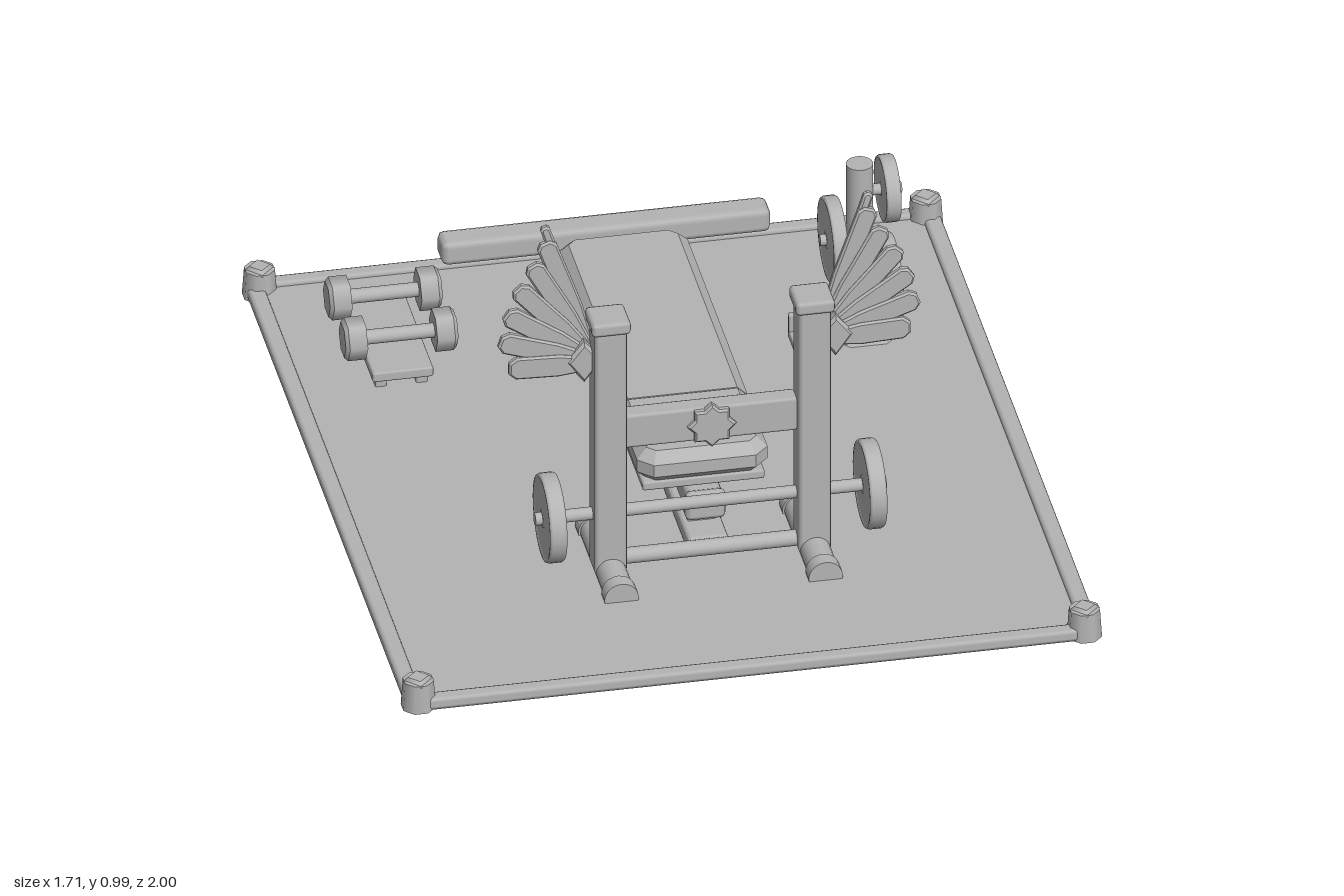
import * as THREE from 'three';
import { RoundedBoxGeometry } from 'three/addons/geometries/RoundedBoxGeometry.js';

const grey = new THREE.MeshStandardMaterial({ color: 0xb4b4b4 });
grey.name = 'plain grey';

export function createModel() {
  const root = new THREE.Group();
  root.name = 'weightBenchSet';

  const add = (name, geo, x, y, z, parent = root) => {
    const m = new THREE.Mesh(geo, grey);
    m.name = name;
    m.position.set(x, y, z);
    parent.add(m);
    return m;
  };
  // boxes are given by their extents
  const box = (name, x0, x1, y0, y1, z0, z1, r = 0.006) =>
    add(name, new RoundedBoxGeometry(x1 - x0, y1 - y0, z1 - z0, 1, r),
      (x0 + x1) / 2, (y0 + y1) / 2, (z0 + z1) / 2);
  // cylinder along the named axis, centred on the point
  const rod = (name, axis, r, len, x, y, z, sides = 20) => {
    const g = new THREE.CylinderGeometry(r, r, len, sides);
    if (axis === 'x') g.rotateZ(Math.PI / 2);
    if (axis === 'z') g.rotateX(Math.PI / 2);
    return add(name, g, x, y, z);
  };
  // flat outline pushed out along z, with a small bevel
  const slab = (pts, depth, bevel) => {
    const g = new THREE.ExtrudeGeometry(new THREE.Shape(pts.map(p => new THREE.Vector2(p[0], p[1]))), {
      depth: depth - 2 * bevel, bevelEnabled: true, bevelSize: bevel, bevelThickness: bevel,
      bevelOffset: -bevel, bevelSegments: 1,
    });
    return g.translate(0, 0, bevel - depth / 2);
  };
  // weight plate with rim and hub, axis along x
  const weight = (name, r, w, x, y, z) => {
    const h = w / 2;
    const g = new THREE.LatheGeometry([
      [0, -h], [r * 0.2, -h], [r * 0.22, -h * 0.8], [r * 0.88, -h * 0.8], [r * 0.92, -h], [r * 0.97, -h], [r, -h * 0.7],
      [r, h * 0.7], [r * 0.97, h], [r * 0.92, h], [r * 0.88, h * 0.8], [r * 0.22, h * 0.8], [r * 0.2, h], [0, h],
    ].map(p => new THREE.Vector2(p[0], p[1])), 32);
    return add(name, g.rotateZ(-Math.PI / 2), x, y, z);
  };

  // floor mat, edge rails and corner posts
  box('floorMat', -0.845, 0.845, 0.012, 0.034, -0.985, 0.985, 0.004);
  for (const s of [-1, 1]) {
    rodRail('x', s);
    rodRail('z', s);
    for (const t of [-1, 1]) {
      const post = new THREE.CylinderGeometry(0.038, 0.043, 0.075, 8).rotateY(Math.PI / 8);
      add('cornerPost', post, s * 0.816, 0.05, t * 0.958);
      add('cornerCap', new THREE.CylinderGeometry(0.026, 0.038, 0.012, 4), s * 0.816, 0.09, t * 0.958);
    }
  }
  function rodRail(axis, s) {
    if (axis === 'x') box('edgeRail', -0.8, 0.8, 0.014, 0.046, s * 0.97 - 0.02, s * 0.97 + 0.02, 0.01);
    else box('edgeRail', s * 0.828 - 0.022, s * 0.828 + 0.022, 0.014, 0.046, -0.95, 0.95, 0.01);
  }

  // rack uprights with feet, peg steps, bar hooks, plates and wings
  const tips = [[0.398, 0.985, 0.024], [0.397, 0.945, 0.05], [0.43, 0.888, 0.05], [0.468, 0.83, 0.052],
    [0.497, 0.763, 0.054], [0.513, 0.692, 0.056], [0.492, 0.618, 0.06]];
  for (const s of [-1, 1]) {
    const x = s * 0.25;
    box('upright', x - 0.04, x + 0.04, 0.035, 0.715, 0.42, 0.5, 0.01);
    box('uprightCap', x - 0.048, x + 0.048, 0.71, 0.745, 0.41, 0.508, 0.01);
    rod('uprightFoot', 'z', 0.037, 0.34, x, 0.042, 0.446);
    for (const z of [0.605, 0.287]) rod('footCap', 'z', 0.042, 0.04, x, 0.042, z);
    for (let i = 0; i < 8; i++)
      box('pegStep', x - 0.024, x + 0.024, 0.15 + i * 0.06, 0.17 + i * 0.06, 0.405, 0.425, 0.003);
    box('hookArm', x - 0.028, x + 0.028, 0.53, 0.552, 0.3, 0.425, 0.004);
    box('hookLip', x - 0.028, x + 0.028, 0.53, 0.597, 0.3, 0.318, 0.004);
    weight('barWeight', 0.11, 0.042, s * 0.392, 0.19, 0.46);

    // wing of fanned feathers
    const wing = new THREE.Group();
    wing.name = s > 0 ? 'leftWing' : 'rightWing';
    root.add(wing);
    tips.forEach(([tx, ty, w], i) => {
      const rx = 0.288, ry = 0.64 - i * 0.005;
      const len = Math.hypot(tx - rx, ty - ry), h = w / 2;
      const g = slab([[-h * 0.6, 0], [h * 0.6, 0], [h, len * 0.4], [h, len - h * 0.6], [h * 0.5, len],
        [-h * 0.5, len], [-h, len - h * 0.6], [-h, len * 0.4]], 0.02, 0.005);
      const f = add('feather', g, s * rx, ry, 0.415 + i * 0.006, wing);
      f.rotation.z = -s * Math.atan2(tx - rx, ty - ry);
    });
    add('wingRoot', slab([[0, -0.06], [0.045, 0], [0, 0.055], [-0.045, 0]], 0.05, 0.008),
      s * 0.308, 0.62, 0.44, wing);
  }

  // rack cross members with star
  box('crossBeam', -0.212, 0.212, 0.37, 0.462, 0.425, 0.475, 0.008);
  const star = Array.from({ length: 16 }, (_, i) => {
    const r = i % 2 ? 0.046 : 0.06, a = i * Math.PI / 8;
    return [r * Math.cos(a), r * Math.sin(a)];
  });
  add('beamStar', slab(star, 0.024, 0.005), 0, 0.416, 0.477);
  rod('lowerCrossBar', 'x', 0.02, 0.44, 0, 0.06, 0.46);
  rod('barbell', 'x', 0.016, 0.86, 0, 0.19, 0.46);

  // bench pad: two cushions on a board
  const cushion = (z0, z1, cutFront, cutBack) => {
    const w = 0.16, c = 0.035;
    const pts = [[-w, -z1 + cutFront * c], [-w + cutFront * c, -z1], [w - cutFront * c, -z1], [w, -z1 + cutFront * c],
      [w, -z0 - cutBack * c], [w - cutBack * c, -z0], [-w + cutBack * c, -z0], [-w, -z0 - cutBack * c]]
      .filter((p, i, a) => i === 0 || p[0] !== a[i - 1][0] || p[1] !== a[i - 1][1]);
    const g = slab(pts, 0.085, 0.026).rotateX(-Math.PI / 2);
    // the side slopes only, so that the cushions meet at the seam
    const p = g.attributes.position;
    for (let i = 0; i < p.count; i++) {
      if (!cutBack && p.getZ(i) < z0 + 0.03) p.setZ(i, z0);
      if (!cutFront && p.getZ(i) > z1 - 0.03) p.setZ(i, z1);
    }
    g.computeVertexNormals();
    return g;
  };
  add('seatCushion', cushion(0.132, 0.4, 1, 0), 0, 0.25, 0);
  add('backCushion', cushion(-0.635, 0.128, 0, 1), 0, 0.25, 0);
  box('padBoard', -0.15, 0.15, 0.188, 0.212, -0.61, 0.385, 0.006);

  // bench frame, legs and feet
  box('benchBeam', -0.045, 0.045, 0.108, 0.178, -0.62, 0.4, 0.014);
  box('beamEnd', -0.05, 0.05, 0.105, 0.182, 0.385, 0.415, 0.014);
  for (const z of [0.3, -0.53]) box('padBracket', -0.1, 0.1, 0.17, 0.19, z - 0.04, z + 0.04, 0.004);
  box('frontLeg', -0.035, 0.035, 0.05, 0.115, 0.28, 0.36);
  box('frontFoot', -0.05, 0.05, 0.03, 0.075, 0.12, 0.44, 0.01);
  box('rearLeg', -0.035, 0.035, 0.05, 0.115, -0.61, -0.53);
  rod('rearFoot', 'x', 0.032, 0.4, 0, 0.042, -0.572);
  for (const s of [-1, 1]) rod('rearFootCap', 'x', 0.041, 0.036, s * 0.197, 0.042, -0.572);
  rod('knobStem', 'z', 0.02, 0.07, 0, 0.145, -0.645);
  add('knob', slab(star, 0.02, 0.004), 0, 0.145, -0.68);

  // dumbbells on a low stand
  box('dumbbellStand', -0.645, -0.495, 0.058, 0.085, -0.79, -0.435);
  for (const x of [-0.62, -0.52])
    for (const z of [-0.75, -0.475]) box('standLeg', x - 0.014, x + 0.014, 0.03, 0.062, z - 0.02, z + 0.02, 0.004);
  for (const z of [-0.705, -0.515]) {
    rod('dumbbellHandle', 'x', 0.018, 0.2, -0.565, 0.14, z);
    for (const s of [-1, 1]) {
      const x = -0.565 + s * 0.107;
      rod('dumbbellHead', 'x', 0.053, 0.044, x, 0.14, z, 6);
      const rim = new THREE.CylinderGeometry(0.044, 0.053, 0.009, 6).rotateZ(-s * Math.PI / 2);
      add('dumbbellEnd', rim, x + s * 0.0265, 0.14, z);
    }
  }

  // long padded beam on a block
  box('rearBeam', -0.403, 0.403, 0.142, 0.206, -0.86, -0.785, 0.016);
  box('rearBeamBlock', -0.05, 0.05, 0.03, 0.15, -0.872, -0.762, 0.014);

  // weight plate tree
  add('treeBase', new THREE.CylinderGeometry(0.1, 0.115, 0.022, 8).rotateY(Math.PI / 8), 0.565, 0.044, -0.51);
  rod('treePost', 'y', 0.033, 0.45, 0.563, 0.26, -0.51);
  for (const [s, y, r] of [[1, 0.407, 0.083], [1, 0.15, 0.115], [-1, 0.28, 0.106]]) {
    const x = 0.565 + s * 0.067;
    weight('treeWeight', r, 0.036, x, y, -0.51);
    rod('treePeg', 'x', 0.014, 0.1, 0.565 + s * 0.05, y, -0.51);
  }
  return root;
}
